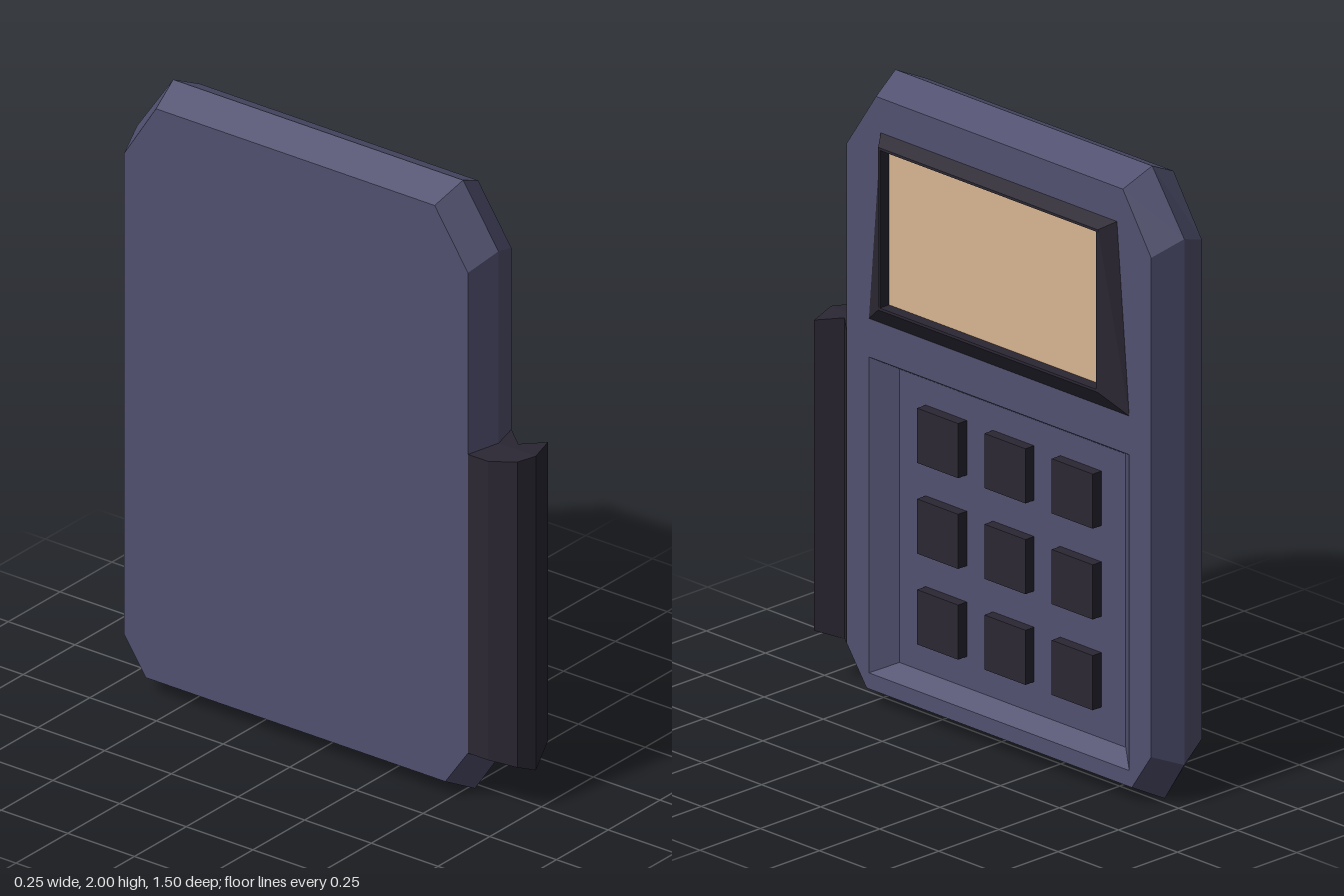
import * as THREE from 'three';

const paint = (color) => new THREE.MeshStandardMaterial({ color, flatShading: true });
const casing = paint(0x50506f);
const dark = paint(0x2b2733);
const tan = paint(0xd8b490);

// Device is built facing +z (u right, y up, w depth), then turned to face +x.
const rect = (u0, u1, y0, y1) => [[u0, y0], [u1, y0], [u1, y1], [u0, y1]];
const toShape = (pts) => new THREE.Shape(pts.map(([u, y]) => new THREE.Vector2(u, y)));

// Joins closed counterclockwise outlines, each given as [points, depth]
function loft(rings) {
  const pos = [];
  for (let r = 0; r < rings.length - 1; r++) {
    const [a, wa] = rings[r], [b, wb] = rings[r + 1];
    a.forEach((p, i) => {
      const j = (i + 1) % a.length;
      const A = [...p, wa], B = [...a[j], wa], C = [...b[j], wb], D = [...b[i], wb];
      pos.push(...A, ...B, ...C, ...A, ...C, ...D);
    });
  }
  const g = new THREE.BufferGeometry();
  g.setAttribute('position', new THREE.Float32BufferAttribute(pos, 3));
  g.computeVertexNormals();
  return g;
}

export function createModel() {
  const model = new THREE.Group();
  const device = new THREE.Group();
  device.name = 'handheldDevice';
  device.rotation.y = Math.PI / 2;
  model.add(device);
  const add = (name, geometry, material, parent = device) => {
    const m = new THREE.Mesh(geometry, material);
    m.name = name;
    parent.add(m);
    return m;
  };

  // Casing: octagonal rim, widest in the middle
  const face = [[-0.49, 0.055], [0.633, 0.055], [0.715, 0.175], [0.715, 1.765],
    [0.595, 1.95], [-0.45, 1.95], [-0.575, 1.765], [-0.575, 0.175]];
  const middle = [[-0.52, 0], [0.665, 0], [0.748, 0.13], [0.748, 1.805],
    [0.612, 2], [-0.475, 2], [-0.608, 1.805], [-0.608, 0.13]];
  add('casingRim', loft([[face, -0.13], [middle, -0.025], [face, 0.08]]), casing);
  const back = new THREE.ShapeGeometry(toShape(face.map(([u, y]) => [-u, y])));
  add('casingBack', back.rotateY(Math.PI).translate(0, 0, -0.13), casing);

  // Front face with the sunken keypad tray
  const trayRim = rect(-0.48, 0.622, 0.106, 1.112);
  const trayFloor = rect(-0.41, 0.548, 0.143, 1.077);
  const front = toShape(face);
  front.holes.push(toShape(trayRim));
  add('casingFront', new THREE.ShapeGeometry(front).translate(0, 0, 0.08), casing);
  add('keypadWalls', loft([[trayRim, 0.08], [trayFloor, 0.022]]), casing);
  add('keypadFloor', new THREE.ShapeGeometry(toShape(trayFloor)).translate(0, 0, 0.022), casing);

  // Keys
  const keys = new THREE.Group();
  keys.name = 'keys';
  device.add(keys);
  const key = new THREE.BoxGeometry(0.174, 0.174, 0.036);
  for (let row = 0; row < 3; row++) {
    for (let col = 0; col < 3; col++) {
      add('key', key, dark, keys).position.set(-0.212 + col * 0.285, 0.907 - row * 0.289, 0.04);
    }
  }

  // Raised screen frame, flaring toward the bottom, with the screen set inside
  const frameBase = [[-0.48, 1.235], [0.622, 1.235], [0.57, 1.84], [-0.43, 1.84]];
  const frameTop = rect(-0.395, 0.535, 1.298, 1.816);
  const opening = rect(-0.388, 0.528, 1.306, 1.808);
  add('screenFrame', loft([[frameBase, 0.08], [frameTop, 0.125], [opening, 0.125], [opening, 0.084]]), dark);
  add('screen', new THREE.ShapeGeometry(toShape(opening)).translate(0, 0, 0.087), tan);

  // Side hook: two halves of one profile, its foot rising away from the middle
  const halves = [
    [[-0.608, -0.025], [-0.748, -0.025], [-0.712, 0.08], [-0.655, 0.01], [-0.575, 0.08]],
    [[-0.608, -0.025], [-0.575, -0.13], [-0.65, -0.13], [-0.725, -0.085], [-0.748, -0.025]],
  ];
  const hook = new THREE.Group();
  hook.name = 'sideHook';
  device.add(hook);
  for (const half of halves) {
    const g = new THREE.ExtrudeGeometry(toShape(half.map(([u, w]) => [u, -w])), { depth: 1.04, bevelEnabled: false });
    g.rotateX(-Math.PI / 2).translate(0, 0.13, 0);
    const p = g.attributes.position;
    for (let i = 0; i < p.count; i++) {
      const off = Math.abs(p.getZ(i) + 0.025) / 0.105;
      p.setY(i, p.getY(i) + (p.getY(i) < 0.5 ? 0.045 : -0.006) * off);
    }
    g.computeVertexNormals();
    add('hookHalf', g, dark, hook);
  }
  return model;
}
